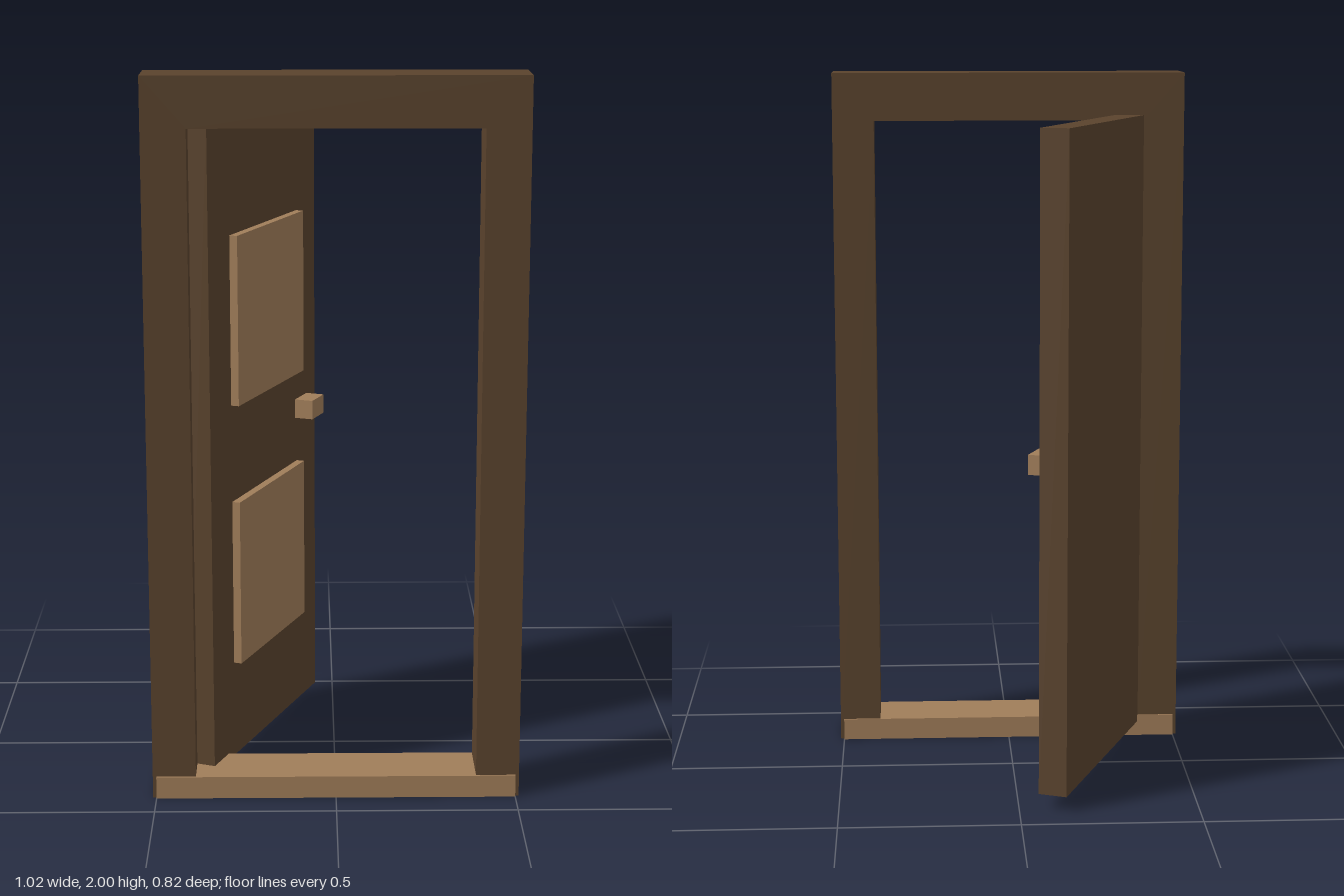
import * as THREE from 'three';

const darkWood = new THREE.MeshStandardMaterial({ color: 0x5a432d });
darkWood.name = 'darkWood';
const lightWood = new THREE.MeshStandardMaterial({ color: 0xa07d59 });
lightWood.name = 'lightWood';

// Box given by its minimum and maximum corners
function box(name, material, [x0, y0, z0], [x1, y1, z1]) {
  const mesh = new THREE.Mesh(new THREE.BoxGeometry(x1 - x0, y1 - y0, z1 - z0), material);
  mesh.position.set((x0 + x1) / 2, (y0 + y1) / 2, (z0 + z1) / 2);
  mesh.name = name;
  return mesh;
}

export function createModel() {
  const model = new THREE.Group();
  model.name = 'openDoorway';

  // Jambs and head in one piece, just clear of the ground so the sill shows below
  const outline = [
    [-0.51, 0.001], [-0.39, 0.001], [-0.39, 1.863], [0.39, 1.863],
    [0.39, 0.001], [0.51, 0.001], [0.51, 2], [-0.51, 2],
  ].map(([x, y]) => new THREE.Vector2(x, y));
  const frame = new THREE.Mesh(
    new THREE.ExtrudeGeometry(new THREE.Shape(outline), { depth: 0.157, bevelEnabled: false }),
    darkWood
  );
  frame.position.z = 0.247;
  frame.name = 'frame';
  model.add(frame);

  // Sill, slightly deeper than the frame
  model.add(box('sill', lightWood, [-0.5, 0, 0.242], [0.5, 0.063, 0.41]));

  // Door leaf: local x runs from hinge to latch, local z = 0 is its panelled face
  const door = new THREE.Group();
  door.name = 'door';
  door.position.set(-0.34, 0, 0.332);
  door.rotation.y = THREE.MathUtils.degToRad(68.1);
  door.add(box('leaf', darkWood, [0, 0.043, -0.081], [0.766, 1.878, 0]));

  // Raised panels
  for (const [name, y0, y1] of [['lowerPanel', 0.323, 0.798], ['upperPanel', 1.075, 1.55]]) {
    door.add(box(name, lightWood, [0.142, y0, -0.01], [0.622, y1, 0.023]));
  }

  // Handle
  door.add(box('handle', lightWood, [0.61, 0.931, -0.01], [0.7, 0.987, 0.055]));
  model.add(door);

  return model;
}
